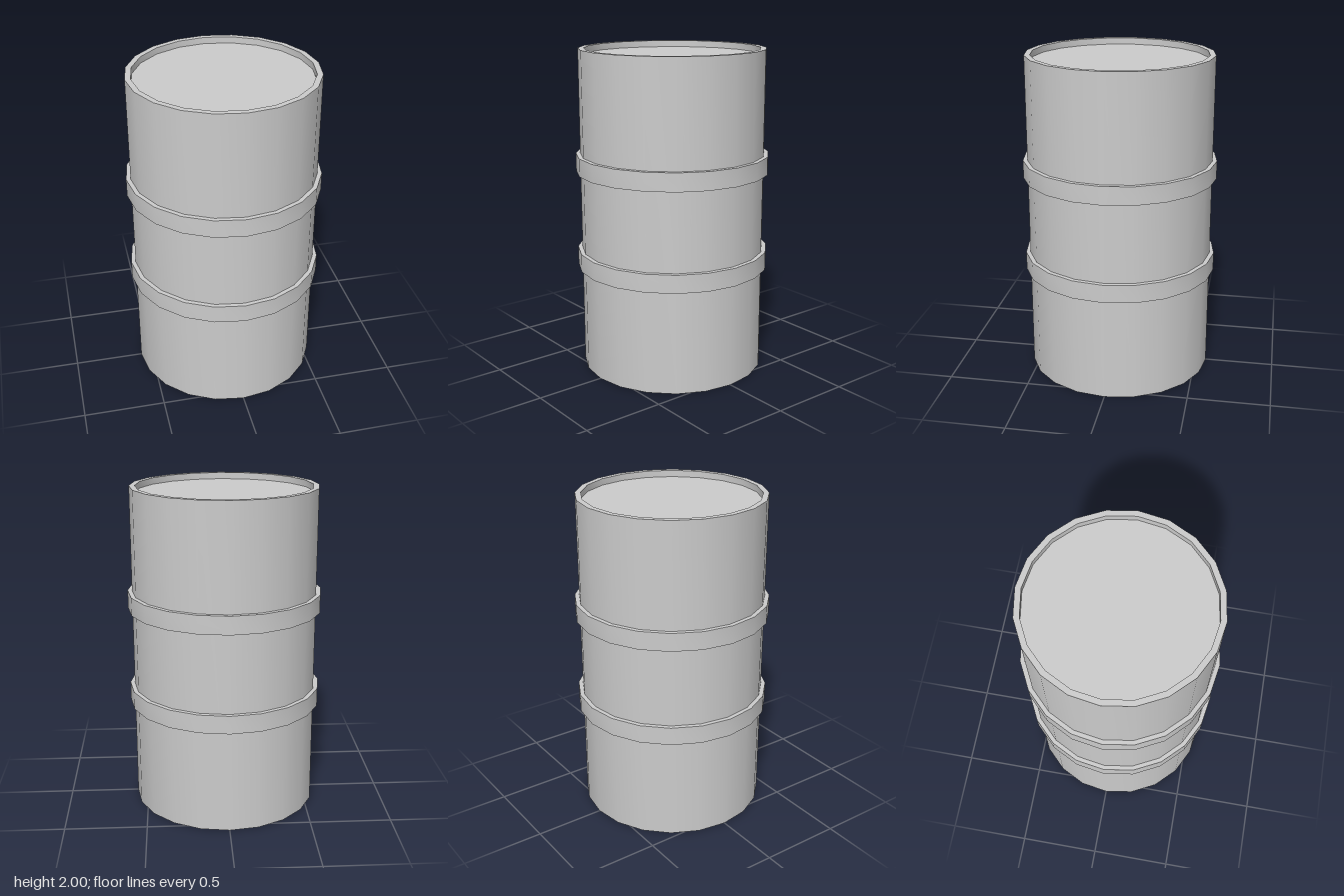
import * as THREE from 'three';
import { toCreasedNormals } from 'three/addons/utils/BufferGeometryUtils.js';

const SIDES = 20;
const HEIGHT = 2;
const RADIUS = 0.57;
const INNER = 0.535;
const BAND_RADIUS = 0.597;
const RECESS = 0.04;

export function createModel() {
  const barrel = new THREE.Group();
  barrel.name = 'barrel';
  const material = new THREE.MeshStandardMaterial({ color: 0xcccccc });

  function add(name, geometry) {
    const mesh = new THREE.Mesh(geometry, material);
    mesh.name = name;
    barrel.add(mesh);
    return mesh;
  }

  // Turned profile: smooth around, sharp at the rims
  function turned(profile) {
    const points = profile.map(([r, y]) => new THREE.Vector2(r, y));
    return toCreasedNormals(new THREE.LatheGeometry(points, SIDES), 0.7);
  }

  // Wall with a raised rim at both ends
  add('wall', turned([
    [INNER, RECESS], [INNER, 0], [RADIUS, 0],
    [RADIUS, HEIGHT], [INNER, HEIGHT], [INNER, HEIGHT - RECESS],
  ]));

  // Two raised hoops around the wall
  [['lowerHoop', 0.645, 0.758], ['upperHoop', 1.248, 1.36]].forEach(([name, bottom, top]) => {
    add(name, turned([
      [RADIUS, bottom], [BAND_RADIUS, bottom], [BAND_RADIUS, top], [RADIUS, top],
    ]));
  });

  // Recessed lid and base
  [['lid', HEIGHT - RECESS, -1], ['base', RECESS, 1]].forEach(([name, y, turn]) => {
    const disc = add(name, new THREE.CircleGeometry(INNER, SIDES));
    disc.rotation.x = turn * Math.PI / 2;
    disc.position.y = y;
  });

  return barrel;
}
